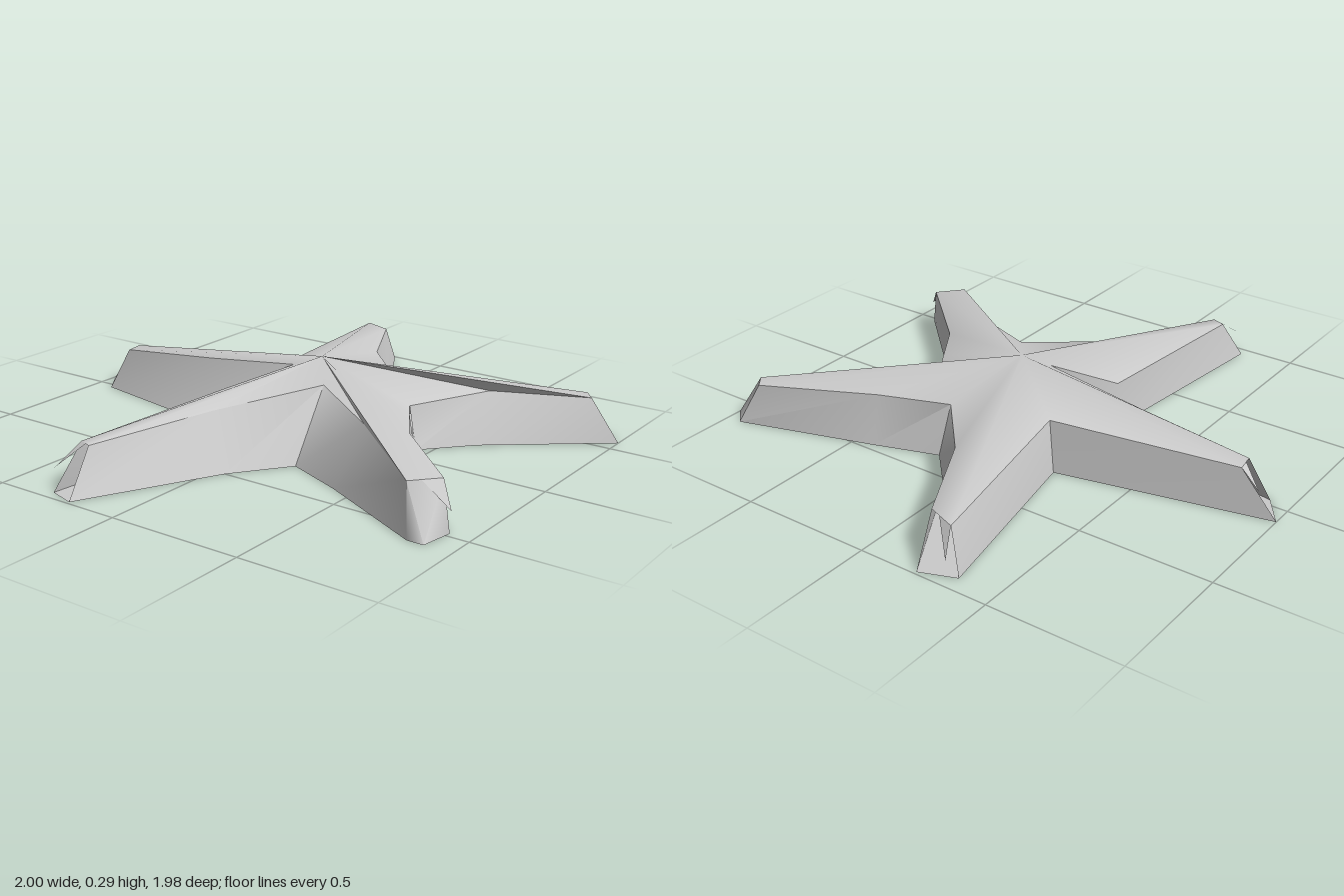
import * as THREE from 'three';
import { toCreasedNormals } from 'three/addons/utils/BufferGeometryUtils.js';

export function createModel() {
  const group = new THREE.Group();
  group.name = 'starfish';
  const apex = [0.07, 0.29, -0.04];
  const floorCentre = [0.07, 0, -0.04];

  // Outline, clockwise from above: foot x, foot z, rim x, rim z, rim height
  const outline = [
    // left-hand valley, then the arm pointing to -x
    [-0.22, 0.17, -0.21, 0.17, 0.17],
    [-0.22, 0.17, -0.02, 0.01, 0.255],
    [-0.55, 0.1, -0.42, 0.0, 0.205],
    [-0.92, 0.03, -0.85, -0.01, 0.16],
    [-1.0, -0.08, -0.86, -0.08, 0.16],
    [-0.22, -0.25, -0.19, -0.23, 0.19],
    // back arm
    [-0.35, -0.94, -0.3, -0.91, 0.16],
    [-0.22, -0.99, -0.19, -0.87, 0.16],
    [0.03, -0.55, -0.02, -0.54, 0.17],
    [0.18, -0.39, 0.16, -0.34, 0.19],
    // back arm on the +x side
    [0.42, -0.47, 0.43, -0.42, 0.18],
    [0.94, -0.63, 0.86, -0.59, 0.16],
    [1.0, -0.57, 0.9, -0.54, 0.16],
    [0.6, -0.25, 0.58, -0.37, 0.17],
    [0.45, -0.08, 0.42, -0.08, 0.16],
    // front arm on the +x side
    [0.5, 0.0, 0.47, 0.0, 0.16],
    [0.6, 0.17, 0.57, 0.16, 0.16],
    [0.92, 0.48, 0.87, 0.44, 0.16],
    [0.9, 0.6, 0.79, 0.53, 0.16],
    [0.84, 0.6, 0.78, 0.52, 0.16],
    [0.42, 0.39, 0.46, 0.27, 0.2],
    [0.2, 0.3, 0.19, 0.12, 0.245],
    // front arm
    [0.05, 0.5, -0.05, 0.44, 0.19],
    [-0.2, 0.99, -0.21, 0.88, 0.16],
    [-0.3, 0.96, -0.26, 0.86, 0.16],
  ];
  const foot = outline.map(([x, z]) => [x, 0, z]);
  const rim = outline.map(([, , x, z, y]) => [x, y, z]);
  const openEnds = [3, 6, 23]; // these arm ends have no end wall
  const lipped = 14; // low lip with a gap above it

  const addMesh = (name, triangles) => {
    const geo = new THREE.BufferGeometry();
    geo.setAttribute('position', new THREE.Float32BufferAttribute(triangles.flat(2), 3));
    const material = new THREE.MeshStandardMaterial({ color: 0xcccccc, side: THREE.DoubleSide });
    const mesh = new THREE.Mesh(toCreasedNormals(geo, 1.1), material);
    mesh.name = name;
    group.add(mesh);
  };
  const mix = (a, b, t) => a.map((v, i) => v + (b[i] - v) * t);

  const top = [], walls = [], floor = [];
  outline.forEach((_, i) => {
    const j = (i + 1) % outline.length;
    const [a, b, c, d] = [foot[i], foot[j], rim[i], rim[j]];
    top.push([apex, d, c]);
    floor.push([floorCentre, a, b]);
    if (openEnds.includes(i)) return;
    const t = i === lipped ? 0.5 : 1;
    const upperA = mix(a, c, t), upperB = mix(b, d, t);
    walls.push([b, a, upperA], [b, upperA, upperB]);
  });

  // Torn skin drooping past the arm ends: rim corner, its neighbour, tip of the droop
  const flaps = [
    [4, 3, [-0.93, 0.09, -0.08]],
    [6, 7, [-0.34, 0.09, -0.99]],
    [17, 18, [0.93, 0.08, 0.49]],
    [24, 23, [-0.29, 0.09, 0.96]],
  ].map(([near, far, tip]) => [rim[near], mix(rim[near], rim[far], 0.6), tip]);

  addMesh('topSkin', top);
  addMesh('armWalls', walls);
  addMesh('underside', floor);
  addMesh('armTipFlaps', flaps);
  return group;
}
